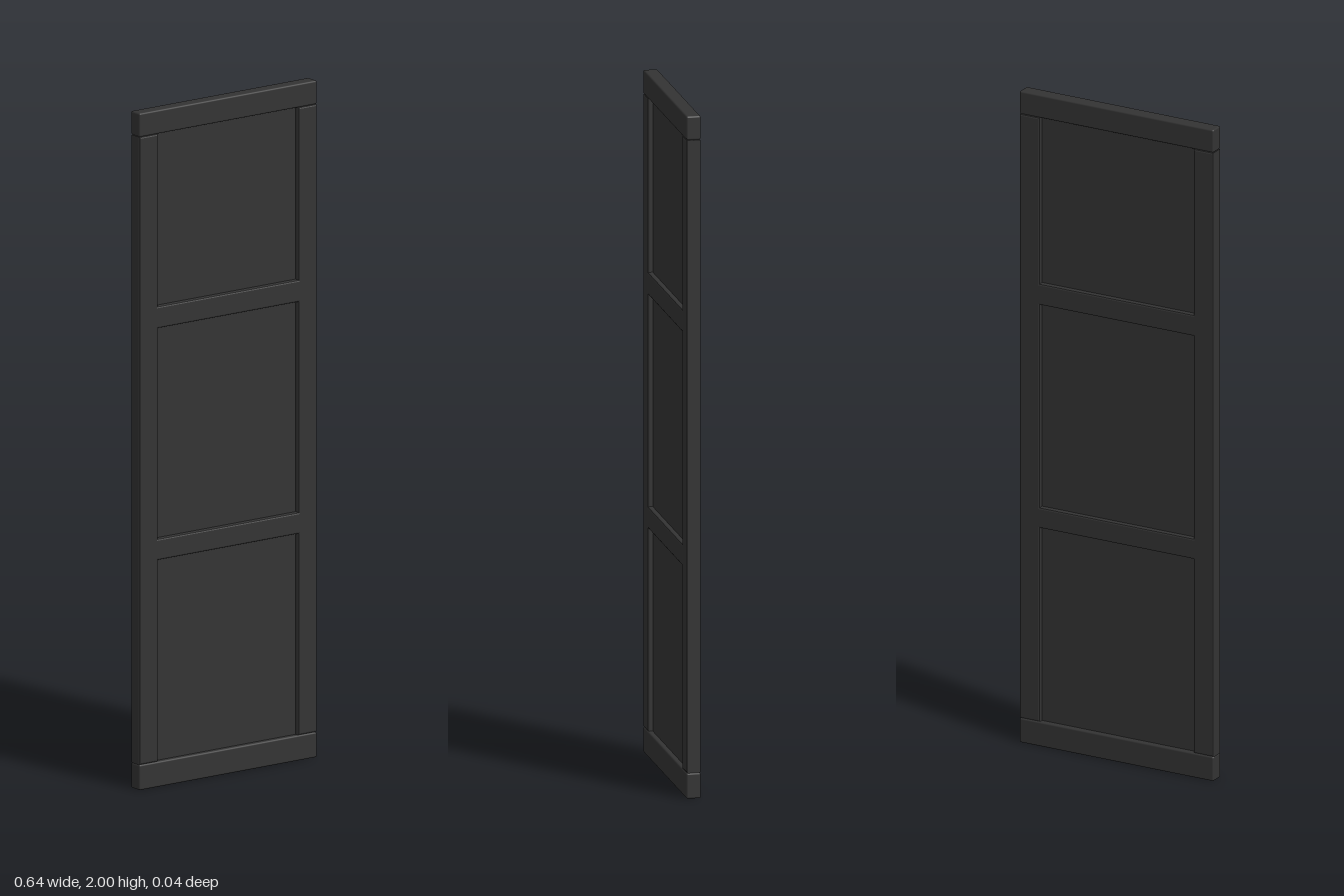
import * as THREE from 'three';
import { RoundedBoxGeometry } from 'three/addons/geometries/RoundedBoxGeometry.js';

const W = 0.318, INNER = 0.252, DEPTH = 0.042, BEVEL = 0.005;
const BOTTOM = 0.075, TOP = 1.93; // ends of the stiles
const MID = [[0.67, 0.733], [1.355, 1.42]]; // lower and upper middle rails

export function createModel() {
  const group = new THREE.Group();
  const material = new THREE.MeshStandardMaterial({ color: 0x333333 });
  const add = (name, geometry, y = 0, z = 0) => {
    const mesh = new THREE.Mesh(geometry, material);
    mesh.name = name;
    mesh.position.set(0, y, z);
    group.add(mesh);
  };
  const path = (Type, points) => new Type(points.map(([x, y]) => new THREE.Vector2(x, y)));

  // Stiles and the two flush middle rails, open at top and bottom
  const [[a, b], [c, d]] = MID;
  const outline = path(THREE.Shape, [
    [-W, BOTTOM], [-INNER, BOTTOM], [-INNER, a], [INNER, a], [INNER, BOTTOM], [W, BOTTOM],
    [W, TOP], [INNER, TOP], [INNER, d], [-INNER, d], [-INNER, TOP], [-W, TOP],
  ]);
  outline.holes.push(path(THREE.Path, [[-INNER, b], [-INNER, c], [INNER, c], [INNER, b]]));
  const frame = new THREE.ExtrudeGeometry(outline, {
    depth: DEPTH - 2 * BEVEL, bevelThickness: BEVEL, bevelSize: BEVEL,
    bevelOffset: -BEVEL, bevelSegments: 2,
  });
  frame.translate(0, 0, -DEPTH / 2 + BEVEL);
  add('stilesAndMiddleRails', frame);

  // Full-width end rails
  for (const [name, low, high] of [['bottomRail', 0, BOTTOM], ['topRail', TOP, 2]]) {
    add(name, new RoundedBoxGeometry(2 * W, high - low, DEPTH, 2, BEVEL), (low + high) / 2);
  }

  // Thin panels recessed on both faces, tucked into the frame
  const bays = [['lowerPanel', BOTTOM, a], ['middlePanel', b, c], ['upperPanel', d, TOP]];
  for (const [name, low, high] of bays) {
    add(name, new THREE.BoxGeometry(2 * INNER + 0.02, high - low + 0.02, 0.012), (low + high) / 2);
  }
  return group;
}
